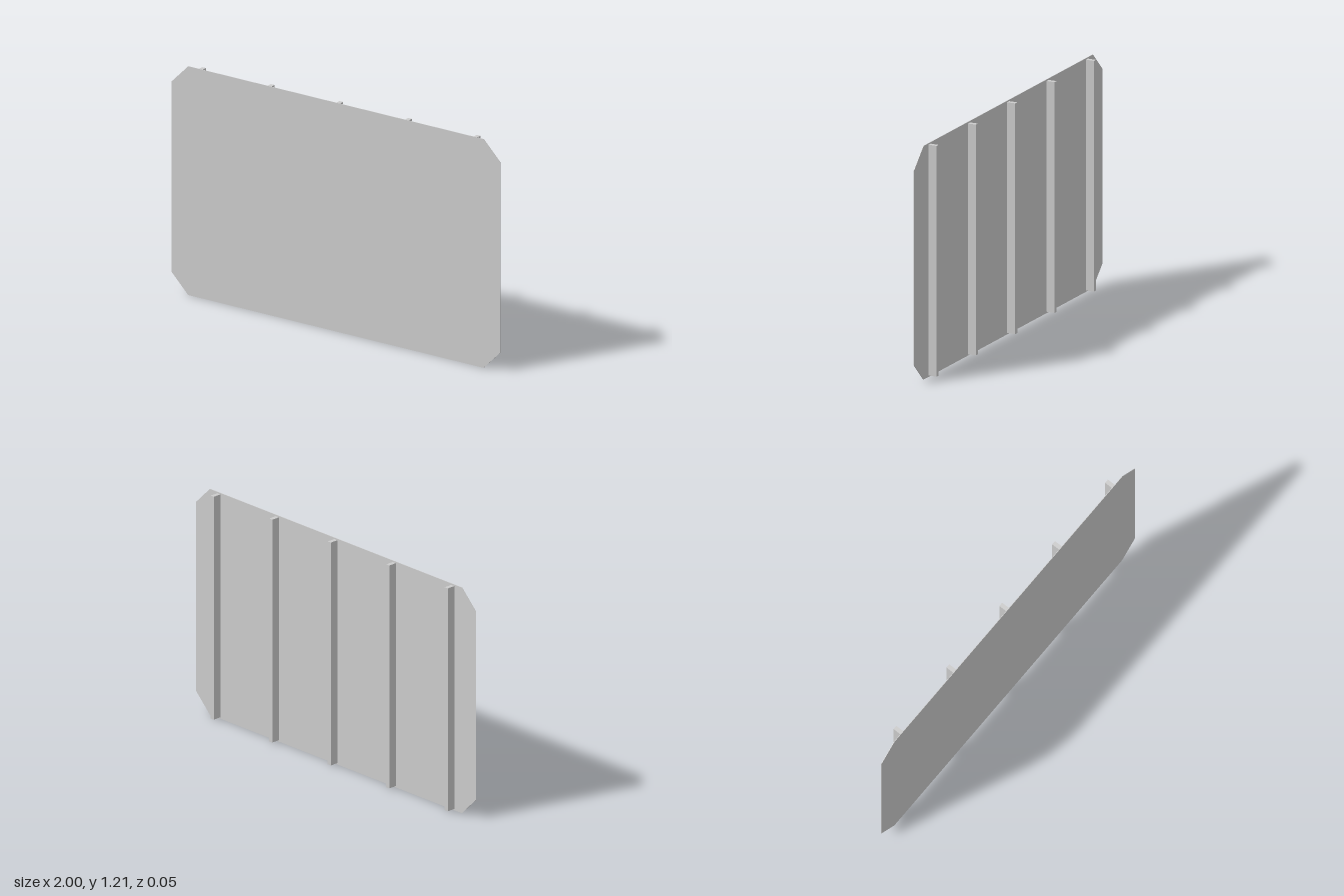
import * as THREE from 'three';

export function createModel() {
  const group = new THREE.Group();
  const material = new THREE.MeshStandardMaterial({ color: 0xcccccc, flatShading: true });

  const height = 1.21, cut = 0.1;
  const depth = 0.048, sheet = 0.003;

  // Thin sheet with clipped corners, forming the front
  const outline = new THREE.Shape([
    [-1 + cut, 0], [1 - cut, 0], [1, cut], [1, height - cut],
    [1 - cut, height], [-1 + cut, height], [-1, height - cut], [-1, cut],
  ].map(([x, y]) => new THREE.Vector2(x, y)));
  const panel = new THREE.Mesh(
    new THREE.ExtrudeGeometry(outline, { depth: sheet, bevelEnabled: false }), material);
  panel.name = 'panel';
  panel.position.z = depth / 2 - sheet;
  group.add(panel);

  // Five upright battens across the back, just short of the sheet's edges
  const battenGeometry = new THREE.BoxGeometry(0.022, height - 0.015, depth - sheet);
  for (let i = -2; i <= 2; i++) {
    const batten = new THREE.Mesh(battenGeometry, material);
    batten.name = `batten${i + 3}`;
    batten.position.set(i * 0.418, height / 2, -sheet / 2);
    group.add(batten);
  }

  return group;
}
